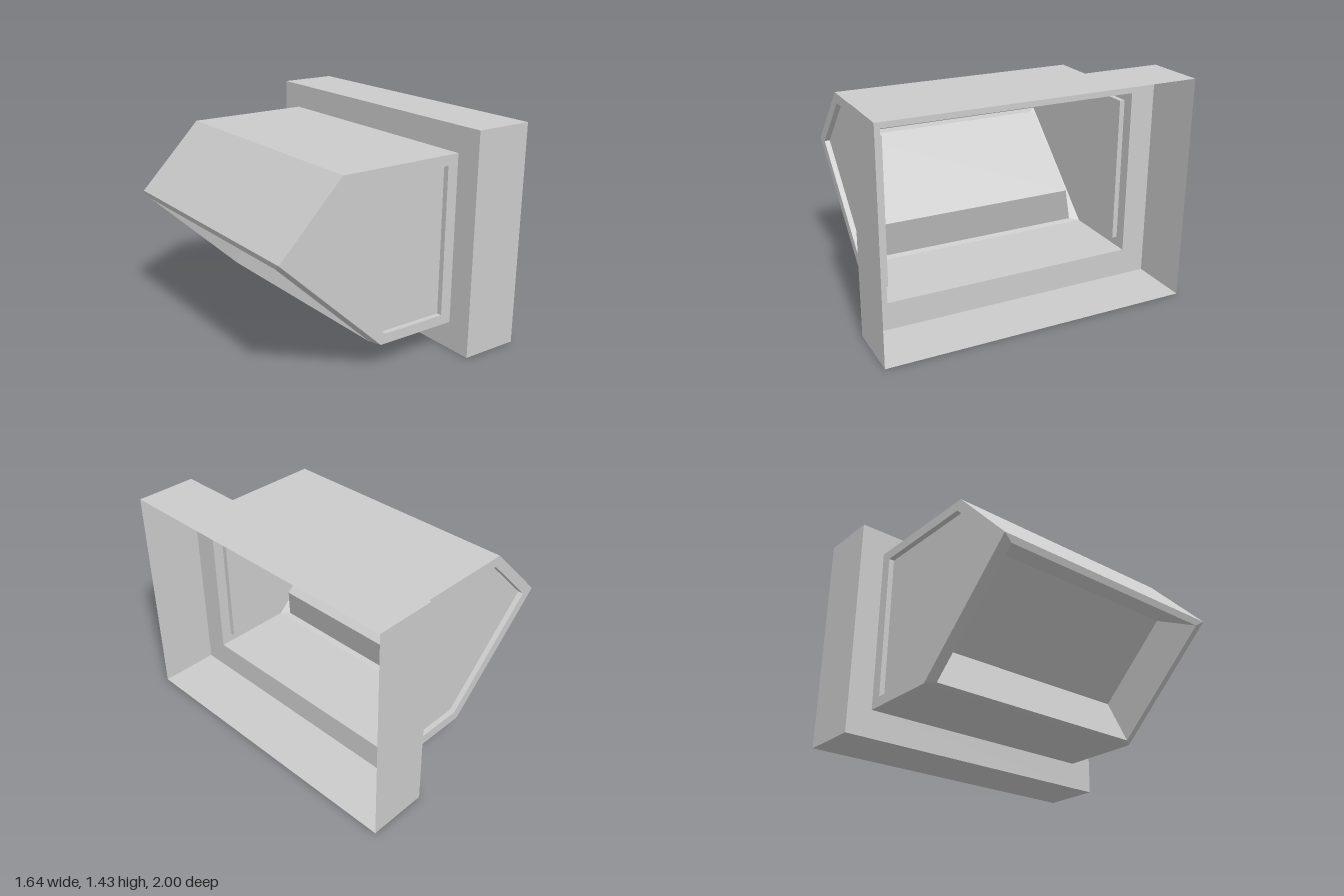
import * as THREE from 'three';

const material = new THREE.MeshStandardMaterial({
  color: 0xcccccc, flatShading: true, side: THREE.DoubleSide,
});

// Joins successive cross-sections with quads; optionally closes each ring and caps the last one
function loft(name, loops, { closed = true, cap = false } = {}) {
  const n = loops[0].length;
  const index = [];
  for (let k = 0; k < loops.length - 1; k++) {
    for (let i = 0; i < (closed ? n : n - 1); i++) {
      const j = (i + 1) % n;
      const a = k * n, b = a + n;
      index.push(a + i, b + j, a + j, a + i, b + i, b + j);
    }
  }
  if (cap) {
    const c = (loops.length - 1) * n;
    for (let i = 1; i < n - 1; i++) index.push(c, c + i + 1, c + i);
  }
  const indexed = new THREE.BufferGeometry();
  indexed.setAttribute('position', new THREE.Float32BufferAttribute(loops.flat(2), 3));
  indexed.setIndex(index);
  const geometry = indexed.toNonIndexed();
  geometry.computeVertexNormals();
  const mesh = new THREE.Mesh(geometry, material);
  mesh.name = name;
  return mesh;
}

// Upright rectangle at a given x
const wallRing = (x, y0, y1, w) => [[x, y0, w], [x, y0, -w], [x, y1, -w], [x, y1, w]];

// Rectangle on the slope, from an upper to a lower profile point
const slopeRing = ([ux, uy], [lx, ly], w) => [[ux, uy, w], [lx, ly, w], [lx, ly, -w], [ux, uy, -w]];

const atZ = (points, z) => points.map(([x, y]) => [x, y, z]);

export function createModel() {
  const group = new THREE.Group();
  const halfWidth = 0.835;
  const panelZ = 0.80;
  const outline = [[0.43, 1.265], [-0.41, 1.265], [-0.825, 0.84], [-0.12, 0.18], [0.43, 0.18]];
  const recess = [[0.355, 1.2], [-0.38, 1.2], [-0.725, 0.845], [-0.09, 0.245], [0.355, 0.245]];

  // Thin wall box, open on the right, with a hole leading into the hood
  group.add(loft('wallFrame', [
    wallRing(0.82, 0, 1.43, 1),
    wallRing(0.43, 0, 1.43, 1),
    wallRing(0.43, 0.18, 1.265, halfWidth),
  ]));

  // Hood roof and floor sheets
  for (const [name, points] of [['hoodRoof', outline.slice(0, 3)], ['hoodFloor', outline.slice(3)]]) {
    group.add(loft(name, [atZ(points, halfWidth), atZ(points, -halfWidth)], { closed: false }));
  }

  // End walls with a shallow recessed panel
  for (const side of [1, -1]) {
    const order = (points) => (side > 0 ? [...points].reverse() : points);
    group.add(loft(side > 0 ? 'frontEndWall' : 'backEndWall', [
      atZ(order(outline), side * halfWidth),
      atZ(order(recess), side * halfWidth),
      atZ(order(recess), side * panelZ),
    ], { cap: true }));
  }

  // Sloping underside: raised lip, then a tapered pocket pushed into the hood
  group.add(loft('slopedPocket', [
    slopeRing(outline[2], outline[3], halfWidth),
    slopeRing([-0.81, 0.80], [-0.16, 0.19], 0.775),
    slopeRing([-0.56, 0.90], [-0.08, 0.45], 0.69),
  ], { cap: true }));

  return group;
}
